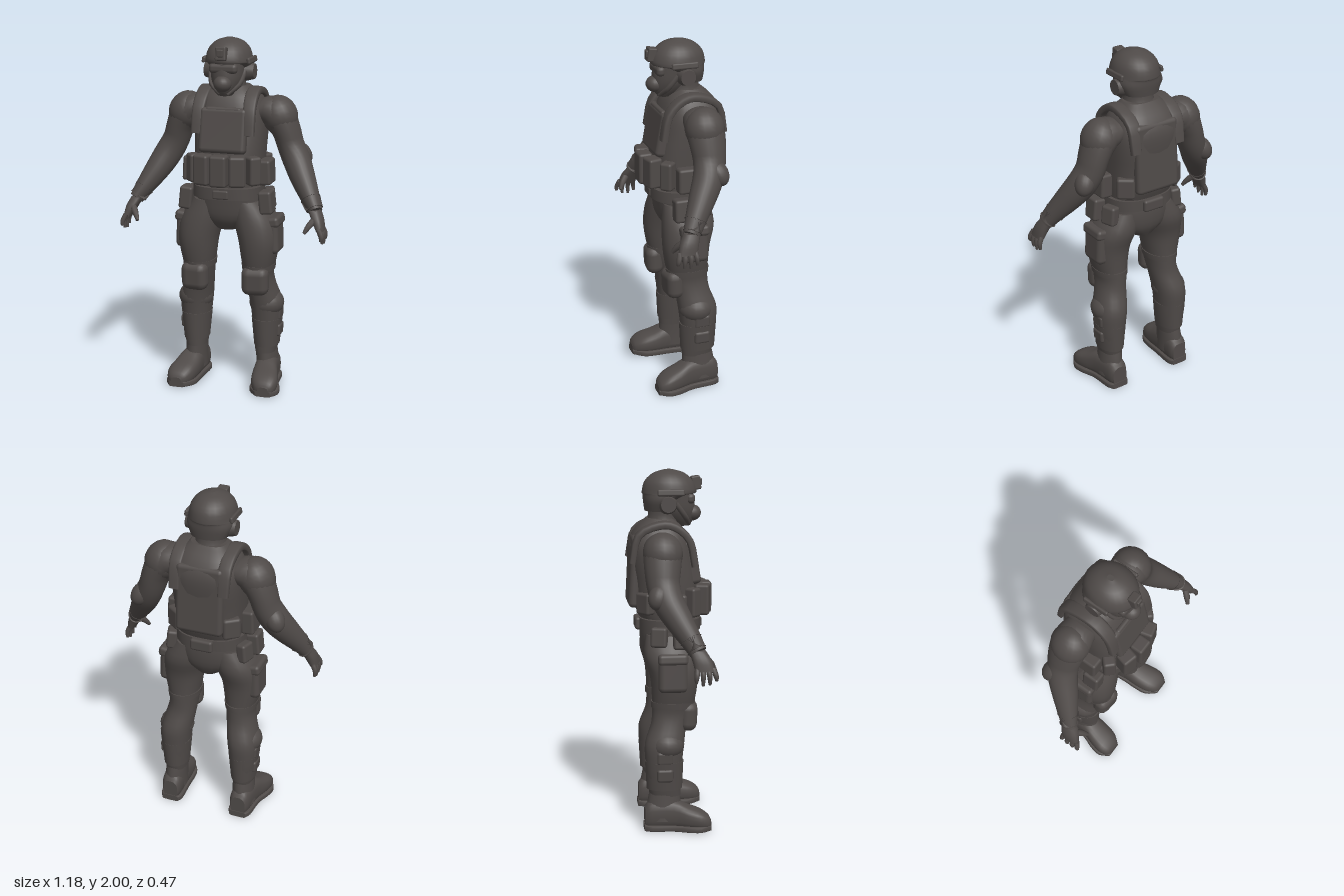
import * as THREE from 'three';
import { RoundedBoxGeometry } from 'three/addons/geometries/RoundedBoxGeometry.js';

const DOWN = new THREE.Vector3(0, -1, 0);
const FORWARD = new THREE.Vector3(0, 0, 1);
const X = new THREE.Vector3(1, 0, 0);

// Closed skin over sections [x, y, z, radiusX, radiusOther]; rings face `axis`, or follow the path
function loft(sections, { axis = null, power = 2, sides = 24, steps = 3, mirror = 1 } = {}) {
  const path = new THREE.CatmullRomCurve3(
    sections.map(s => new THREE.Vector3(s[0] * mirror, s[1], s[2])), false, 'catmullrom');
  const size = new THREE.CatmullRomCurve3(
    sections.map(s => new THREE.Vector3(s[3], s[4], 0)), false, 'catmullrom');
  const pos = [], index = [], rings = (sections.length - 1) * steps;
  const bend = v => Math.sign(v) * Math.abs(v) ** (2 / power);
  const addRing = i => {
    const c = path.getPoint(i / rings), r = size.getPoint(i / rings);
    const t = axis || path.getTangent(i / rings);
    const right = X.clone().addScaledVector(t, -X.dot(t)).normalize();
    const other = t.clone().cross(right);
    for (let j = 0; j < sides; j++) {
      const a = j / sides * Math.PI * 2;
      const p = c.clone().addScaledVector(right, bend(Math.cos(a)) * r.x)
        .addScaledVector(other, bend(Math.sin(a)) * r.y);
      pos.push(p.x, p.y, p.z);
    }
    return c;
  };
  for (let i = 0; i <= rings; i++) addRing(i);
  for (let i = 0; i < rings; i++) for (let j = 0; j < sides; j++) {
    const a = i * sides + j, b = i * sides + (j + 1) % sides;
    index.push(a, b, a + sides, b, b + sides, a + sides);
  }
  // end caps with their own vertices, so the rims stay crisp
  for (const end of [0, rings]) {
    const start = pos.length / 3, c = addRing(end), mid = pos.length / 3;
    pos.push(c.x, c.y, c.z);
    for (let j = 0; j < sides; j++) {
      const a = start + j, b = start + (j + 1) % sides;
      if (end) index.push(a, b, mid); else index.push(b, a, mid);
    }
  }
  const g = new THREE.BufferGeometry();
  g.setAttribute('position', new THREE.Float32BufferAttribute(pos, 3));
  g.setIndex(index);
  g.computeVertexNormals();
  return g;
}

export function createModel() {
  const model = new THREE.Group();
  model.name = 'armouredFigure';
  const charcoal = new THREE.MeshStandardMaterial({ color: 0x4f4a48 });
  charcoal.name = 'charcoal';

  const add = (name, geometry) => {
    const m = new THREE.Mesh(geometry, charcoal);
    m.name = name;
    model.add(m);
    return m;
  };
  const box = (name, size, at, rot = [0, 0, 0], radius = 0.015) => {
    const m = add(name, new RoundedBoxGeometry(...size, 2, Math.min(radius, Math.min(...size) * 0.45)));
    m.position.set(...at);
    m.rotation.set(...rot);
  };
  const ball = (name, radii, at, rot = [0, 0, 0]) => {
    const m = add(name, new THREE.SphereGeometry(1, 20, 14));
    m.scale.set(...radii);
    m.position.set(...at);
    m.rotation.set(...rot);
  };

  // Head, mask and helmet
  add('head', loft([[0, 1.9, 0.02, 0.1, 0.11], [0, 1.84, 0.03, 0.095, 0.11], [0, 1.78, 0.035, 0.088, 0.11],
    [0, 1.73, 0.05, 0.065, 0.09], [0, 1.69, 0.07, 0.035, 0.045]], { axis: DOWN }));
  add('neck', loft([[0, 1.8, -0.02, 0.085, 0.09], [0, 1.73, -0.03, 0.085, 0.09], [0, 1.64, -0.05, 0.12, 0.11]], { axis: DOWN }));
  ball('mask', [0.05, 0.045, 0.05], [0, 1.76, 0.13]);
  box('goggles', [0.16, 0.055, 0.05], [0, 1.842, 0.115], [0, 0, 0], 0.022);
  add('helmet', loft([[0, 2, 0, 0.015, 0.02], [0, 1.98, 0, 0.075, 0.085], [0, 1.935, 0, 0.116, 0.135],
    [0, 1.875, 0.002, 0.13, 0.152], [0, 1.865, -0.015, 0.13, 0.13], [0, 1.83, -0.045, 0.126, 0.098],
    [0, 1.775, -0.065, 0.1, 0.07]], { axis: DOWN }));
  box('helmetMount', [0.06, 0.075, 0.05], [0, 1.925, 0.15], [-0.15, 0, 0], 0.008);
  box('mountClip', [0.035, 0.04, 0.03], [0, 1.93, 0.168], [0, 0, 0], 0.006);

  // Vest and pelvis
  add('vest', loft([[0, 1.735, -0.05, 0.1, 0.075], [0, 1.68, -0.055, 0.16, 0.13], [0, 1.6, -0.06, 0.195, 0.168],
    [0, 1.5, -0.05, 0.2, 0.178], [0, 1.38, -0.03, 0.195, 0.18], [0, 1.26, -0.02, 0.19, 0.175],
    [0, 1.19, -0.01, 0.185, 0.16]], { axis: DOWN, power: 2.7, sides: 32 }));
  box('chestPlate', [0.27, 0.25, 0.07], [0, 1.5, 0.115], [-0.18, 0, 0], 0.025);
  box('chestFlap', [0.2, 0.06, 0.03], [0, 1.6, 0.115], [-0.25, 0, 0]);
  box('backPlate', [0.27, 0.4, 0.06], [0, 1.45, -0.196], [0.05, 0, 0], 0.025);
  add('pelvis', loft([[0, 1.21, 0, 0.175, 0.15], [0, 1.1, -0.012, 0.19, 0.152], [0, 1, -0.015, 0.17, 0.14],
    [0, 0.93, -0.02, 0.07, 0.1]], { axis: DOWN, power: 2.3 }));
  add('belt', loft([[0, 1.185, 0, 0.2, 0.175], [0, 1.12, 0, 0.2, 0.175]], { axis: DOWN, power: 2.5, steps: 1, sides: 32 }));
  box('buckle', [0.09, 0.05, 0.02], [0, 1.15, 0.172]);
  box('backBeltPouch', [0.13, 0.07, 0.05], [0, 1.15, -0.17]);
  box('middleMagazinePouch', [0.095, 0.175, 0.08], [0, 1.29, 0.197]);

  for (const s of [1, -1]) {
    const side = s > 0 ? 'left' : 'right';
    const limb = (name, sections, options) => add(side + name, loft(sections, { mirror: s, ...options }));
    const sBox = (name, size, [x, y, z], [a, b, c] = [0, 0, 0], r) =>
      box(side + name, size, [x * s, y, z], [a, b * s, c * s], r);
    const sBall = (name, radii, [x, y, z], [a, b, c] = [0, 0, 0]) =>
      ball(side + name, radii, [x * s, y, z], [a, b * s, c * s]);

    // Helmet fittings
    const cup = add(side + 'EarCup', new THREE.CylinderGeometry(0.042, 0.055, 0.05, 16));
    cup.position.set(0.117 * s, 1.815, -0.015);
    cup.rotation.z = -s * Math.PI / 2;
    sBox('HelmetRail', [0.02, 0.035, 0.15], [0.128, 1.88, 0], [0, 0, 0.15]);
    limb('ChinStrap', [[0.1, 1.82, 0.03, 0.012, 0.015], [0.08, 1.75, 0.08, 0.012, 0.015],
      [0.02, 1.7, 0.11, 0.012, 0.012]], { sides: 8 });

    // Vest straps and pouches
    limb('ShoulderStrap', [[0.15, 1.48, 0.13, 0.03, 0.02], [0.145, 1.62, 0.1, 0.035, 0.02],
      [0.14, 1.695, 0.02, 0.038, 0.022], [0.14, 1.705, -0.07, 0.038, 0.022], [0.14, 1.65, -0.18, 0.036, 0.02],
      [0.14, 1.5, -0.215, 0.03, 0.018]], { power: 4, sides: 16 });
    sBox('MagazinePouch', [0.09, 0.17, 0.08], [0.098, 1.29, 0.178], [0, 0.25, 0]);
    sBox('CornerPouch', [0.07, 0.16, 0.07], [0.172, 1.285, 0.115], [0, 0.8, 0]);
    sBox('SidePouch', [0.075, 0.14, 0.13], [0.217, 1.265, 0.01], [0, 0, 0.05]);
    sBox('RadioPouch', [0.1, 0.12, 0.06], [0.16, 1.28, -0.145], [0, 2.5, 0]);
    sBox('HipPouch', [0.075, 0.13, 0.1], [0.232, 1.1, 0.05], [0, 0, 0.1]);
    sBox('RearHipPouch', [0.06, 0.11, 0.09], [0.217, 1.1, -0.075], [0, 0.3, 0.1]);

    // Arm
    limb('Arm', [[0.17, 1.6, -0.06, 0.07, 0.09], [0.255, 1.58, -0.06, 0.095, 0.105], [0.305, 1.5, -0.065, 0.08, 0.1],
      [0.335, 1.41, -0.065, 0.075, 0.09], [0.375, 1.33, -0.045, 0.078, 0.085], [0.425, 1.24, 0.005, 0.07, 0.075],
      [0.48, 1.15, 0.06, 0.054, 0.06], [0.523, 1.08, 0.1, 0.038, 0.048]]);
    sBall('ShoulderCap', [0.1, 0.115, 0.108], [0.272, 1.57, -0.06], [0, 0, 0.35]);
    sBall('ElbowPad', [0.055, 0.075, 0.055], [0.39, 1.355, -0.095], [0.4, 0, 0.5]);
    limb('Cuff', [[0.485, 1.14, 0.066, 0.056, 0.062], [0.515, 1.09, 0.093, 0.048, 0.055]], { steps: 1 });

    // Hand
    limb('Palm', [[0.515, 1.09, 0.095, 0.035, 0.045], [0.54, 1.04, 0.118, 0.032, 0.052],
      [0.56, 0.985, 0.133, 0.022, 0.053]], { axis: DOWN, power: 2.5, sides: 16 });
    for (let i = 0; i < 4; i++) {
      const z = 0.093 + i * 0.028, drop = [0.015, 0, 0.005, 0.025][i];
      limb('Finger' + (i + 1), [[0.558, 1.0, z, 0.015, 0.015], [0.576, 0.96, z + 0.006 * (i - 1), 0.014, 0.014],
        [0.574, 0.91 + drop, z + 0.008 * (i - 1), 0.008, 0.008]], { sides: 8 });
    }
    limb('Thumb', [[0.54, 1.055, 0.13, 0.02, 0.02], [0.505, 1.015, 0.17, 0.018, 0.018],
      [0.482, 0.975, 0.195, 0.01, 0.01]], { sides: 8 });

    // Leg
    limb('Leg', [[0.11, 1.1, -0.01, 0.09, 0.13], [0.152, 0.99, -0.008, 0.122, 0.146], [0.176, 0.88, 0.01, 0.114, 0.134],
      [0.178, 0.78, 0.01, 0.1, 0.124], [0.175, 0.68, 0, 0.082, 0.112], [0.185, 0.6, -0.02, 0.083, 0.1],
      [0.206, 0.5, -0.045, 0.09, 0.11], [0.212, 0.4, -0.05, 0.084, 0.104], [0.212, 0.3, -0.05, 0.074, 0.097],
      [0.21, 0.2, -0.042, 0.06, 0.087]], { axis: DOWN, power: 2.2 });
    sBox('ThighPouch', [0.075, 0.21, 0.16], [0.263, 0.905, -0.005], [0, 0, 0.04], 0.03);
    sBox('ThighPouchFlap', [0.07, 0.06, 0.165], [0.27, 0.985, -0.005], [0, 0, 0.15], 0.02);
    limb('ThighStrap', [[0.175, 0.735, 0.005, 0.096, 0.124], [0.175, 0.7, 0.003, 0.092, 0.122]], { axis: DOWN, steps: 1 });
    sBox('KneePad', [0.155, 0.165, 0.1], [0.178, 0.648, 0.09], [0.05, 0.1, 0], 0.045);
    sBall('ShinGuard', [0.1, 0.085, 0.1], [0.213, 0.49, -0.035]);
    for (const y of [0.43, 0.33]) sBox('ShinBuckle', [0.04, 0.075, 0.09], [0.28, y, -0.05], [0, 0, -0.06]);
    limb('Gaiter', [[0.212, 0.4, -0.048, 0.088, 0.108], [0.212, 0.24, -0.047, 0.072, 0.1]], { axis: DOWN, steps: 1 });

    // Boot
    limb('BootShaft', [[0.21, 0.23, -0.045, 0.06, 0.085], [0.215, 0.15, -0.05, 0.062, 0.095],
      [0.22, 0.06, -0.05, 0.066, 0.105]], { axis: DOWN });
    limb('BootFoot', [[0.215, 0.075, -0.158, 0.045, 0.06], [0.217, 0.09, -0.12, 0.06, 0.082],
      [0.225, 0.092, 0, 0.066, 0.084], [0.238, 0.075, 0.08, 0.076, 0.067], [0.25, 0.062, 0.15, 0.076, 0.054],
      [0.256, 0.048, 0.195, 0.055, 0.038], [0.258, 0.04, 0.21, 0.03, 0.02]], { axis: FORWARD, power: 2.6 });
    limb('BootSole', [[0.215, 0.018, -0.162, 0.05, 0.018], [0.217, 0.018, -0.12, 0.068, 0.018],
      [0.225, 0.018, 0, 0.07, 0.018], [0.24, 0.018, 0.08, 0.084, 0.018], [0.25, 0.018, 0.15, 0.084, 0.018],
      [0.257, 0.02, 0.21, 0.045, 0.016]], { axis: FORWARD, power: 6 });
  }
  return model;
}
